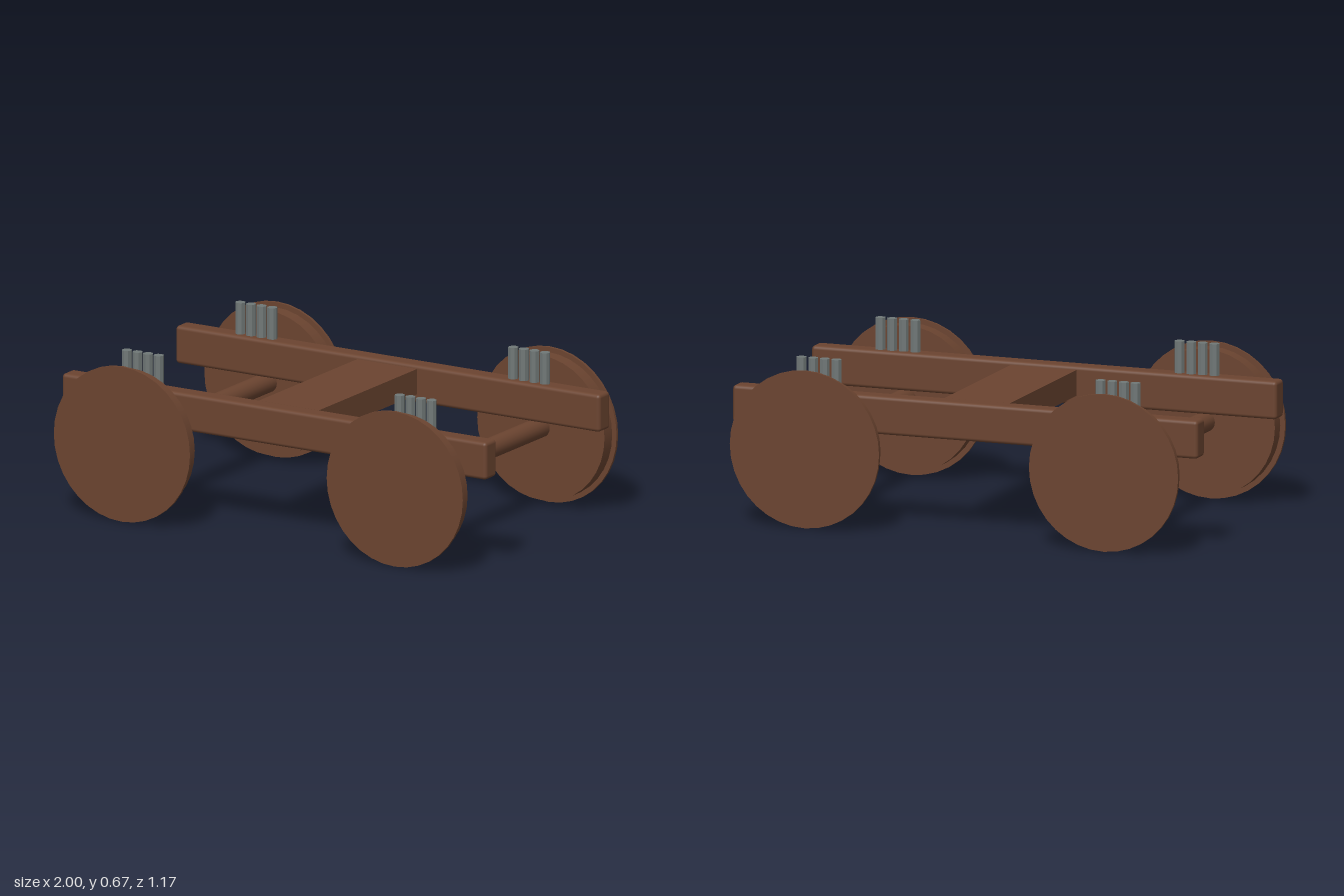
import * as THREE from 'three';
import { RoundedBoxGeometry } from 'three/addons/geometries/RoundedBoxGeometry.js';

const wood = new THREE.MeshStandardMaterial({ color: 0x6b4430 });
wood.name = 'brown wood';
const steel = new THREE.MeshStandardMaterial({ color: 0x707877, flatShading: true });
steel.name = 'grey steel';

const AXLE_X = 0.643, AXLE_Y = 0.322, BEAM_Z = 0.428;

function add(parent, name, geometry, material, x, y, z) {
  const mesh = new THREE.Mesh(geometry, material);
  mesh.name = name;
  mesh.position.set(x, y, z);
  parent.add(mesh);
  return mesh;
}

// Cylinder lying along z
function discZ(radius, length, sides) {
  return new THREE.CylinderGeometry(radius, radius, length, sides).rotateX(Math.PI / 2);
}

export function createModel() {
  const model = new THREE.Group();
  model.name = 'wheelBogie';

  // Cross member joining the side beams
  add(model, 'crossMember', new THREE.BoxGeometry(0.282, 0.105, 0.82), wood, 0, 0.47, 0);

  const beam = new RoundedBoxGeometry(2, 0.155, 0.083, 3, 0.015);
  const axle = discZ(0.042, 1.06, 20);
  const tread = discZ(0.3, 0.06, 36);
  const flange = discZ(0.321, 0.012, 36);
  const pin = new THREE.CylinderGeometry(0.021, 0.021, 0.18, 8);

  // Side beams
  for (const side of [1, -1]) add(model, 'sideBeam', beam, wood, 0, 0.459, side * BEAM_Z);

  for (const end of [1, -1]) {
    // Axle with a flanged wheel at each tip
    const wheelset = new THREE.Group();
    wheelset.name = 'wheelset';
    wheelset.position.set(end * AXLE_X, AXLE_Y, 0);
    model.add(wheelset);
    add(wheelset, 'axle', axle, wood, 0, 0.003, 0);
    for (const side of [1, -1]) {
      add(wheelset, 'wheelTread', tread, wood, 0, 0, side * 0.546);
      add(wheelset, 'wheelFlange', flange, wood, 0, 0, side * 0.58);

      // Row of four upright pins on the beam above each axle
      const pins = new THREE.Group();
      pins.name = 'springPins';
      pins.position.set(end * AXLE_X, 0.576, side * BEAM_Z);
      model.add(pins);
      for (let i = 0; i < 4; i++) add(pins, 'springPin', pin, steel, (i - 1.5) * 0.05, 0, 0);
    }
  }
  return model;
}
